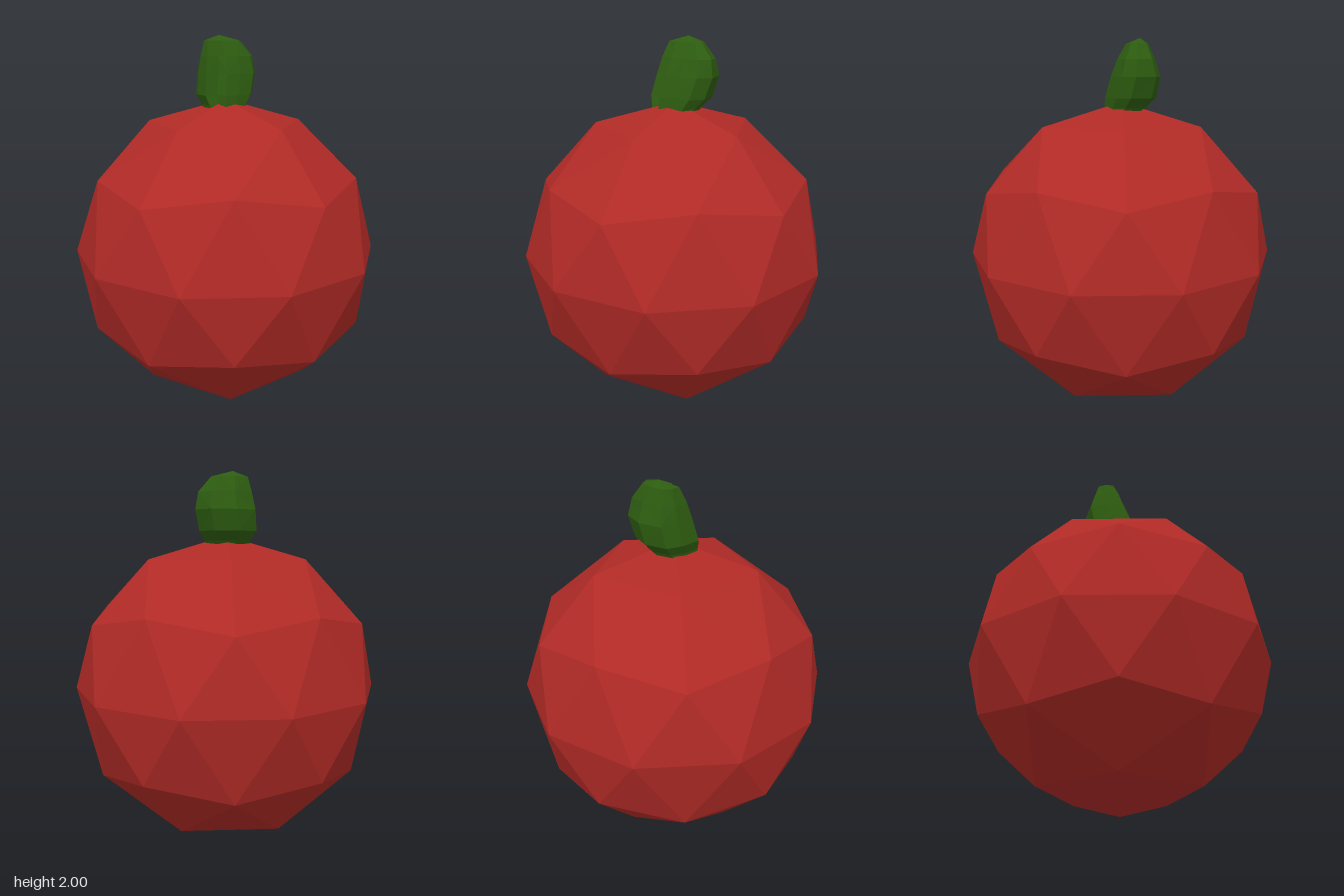
import * as THREE from 'three';

const RADIUS = 0.833;

// Faceted ball with one corner pointing straight up
function makeBody() {
  const geometry = new THREE.IcosahedronGeometry(RADIUS, 1);
  geometry.rotateZ(-Math.atan(2 / (1 + Math.sqrt(5))));
  geometry.translate(0, RADIUS, 0);
  const body = new THREE.Mesh(geometry, new THREE.MeshStandardMaterial({ color: 0xb02a26, flatShading: true }));
  body.name = 'body';
  return body;
}

// Stubby stem leaning back, with a crease on its front right side
function makeStem() {
  // Plan outline from +x round through +z
  const outline = [
    [1, 0.05], [0.75, 0.6], [0.2, 0.85], [-0.3, 1], [-0.5, 0.62],
    [-0.95, 0.75], [-1, -0.05], [-0.85, -0.7], [-0.1, -1], [0.7, -0.75],
  ];
  // Sections: y, xMin, xMax, zMin, zMax
  const sections = [
    [1.58, -0.11, 0.1, -0.1, 0.09],
    [1.64, -0.12, 0.13, -0.14, 0.09],
    [1.69, -0.14, 0.17, -0.19, 0.085],
    [1.8, -0.125, 0.2, -0.21, 0.055],
    [1.89, -0.11, 0.185, -0.18, 0.02],
    [1.97, -0.09, 0.115, -0.145, -0.025],
  ];
  const n = outline.length;
  const positions = [];
  for (const [y, x0, x1, z0, z1] of sections) {
    for (const [u, v] of outline) {
      positions.push((x0 + x1) / 2 + (u * (x1 - x0)) / 2, y, (z0 + z1) / 2 + (v * (z1 - z0)) / 2);
    }
  }
  positions.push(0, 2, -0.1);
  const tip = sections.length * n;
  const index = [];
  for (let j = 0; j < n; j++) {
    const k = (j + 1) % n;
    for (let i = 0; i < sections.length - 1; i++) {
      const a = i * n + j, b = i * n + k, c = a + n, d = b + n;
      // Alternate the diagonals for an irregular, hewn look
      if ((i + j) % 2) index.push(a, c, b, b, c, d);
      else index.push(a, c, d, a, d, b);
    }
    index.push(tip - n + j, tip, tip - n + k);
  }
  const geometry = new THREE.BufferGeometry();
  geometry.setAttribute('position', new THREE.Float32BufferAttribute(positions, 3));
  geometry.setIndex(index);
  geometry.computeVertexNormals();
  const stem = new THREE.Mesh(geometry, new THREE.MeshStandardMaterial({ color: 0x2d5c10, flatShading: true }));
  stem.name = 'stem';
  return stem;
}

export function createModel() {
  const group = new THREE.Group();
  group.name = 'fruit';
  group.add(makeBody(), makeStem());
  return group;
}
